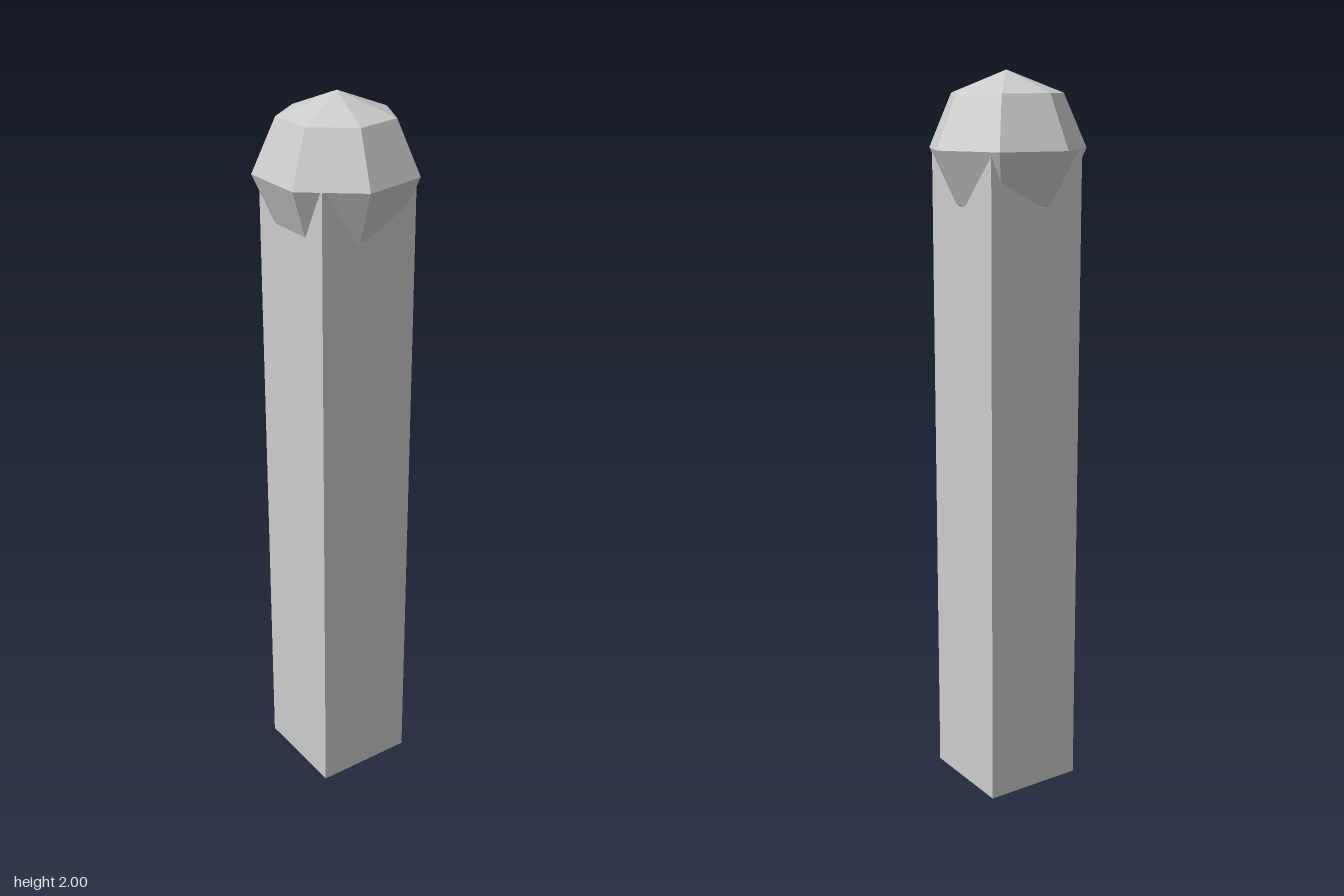
import * as THREE from 'three';

export function createModel() {
  const group = new THREE.Group();
  group.name = 'post';
  const grey = new THREE.MeshStandardMaterial({ color: 0xcccccc });
  grey.name = 'light grey';
  const axisX = -0.012;

  // Square shaft, reaching up to the widest ring of the cap
  const shaft = new THREE.Mesh(new THREE.BoxGeometry(0.285, 1.8, 0.285), grey);
  shaft.name = 'shaft';
  shaft.position.set(axisX, 0.9, 0);
  group.add(shaft);

  // Seven-sided faceted ball, slightly flattened, with one corner towards +x
  const ball = new THREE.SphereGeometry(0.216, 7, 4);
  ball.rotateY(Math.PI);
  ball.scale(1, 0.2 / 0.216, 1);
  const facets = ball.toNonIndexed();
  facets.computeVertexNormals();
  const cap = new THREE.Mesh(facets, grey);
  cap.name = 'cap';
  cap.position.set(axisX, 1.8, 0);
  group.add(cap);

  return group;
}
